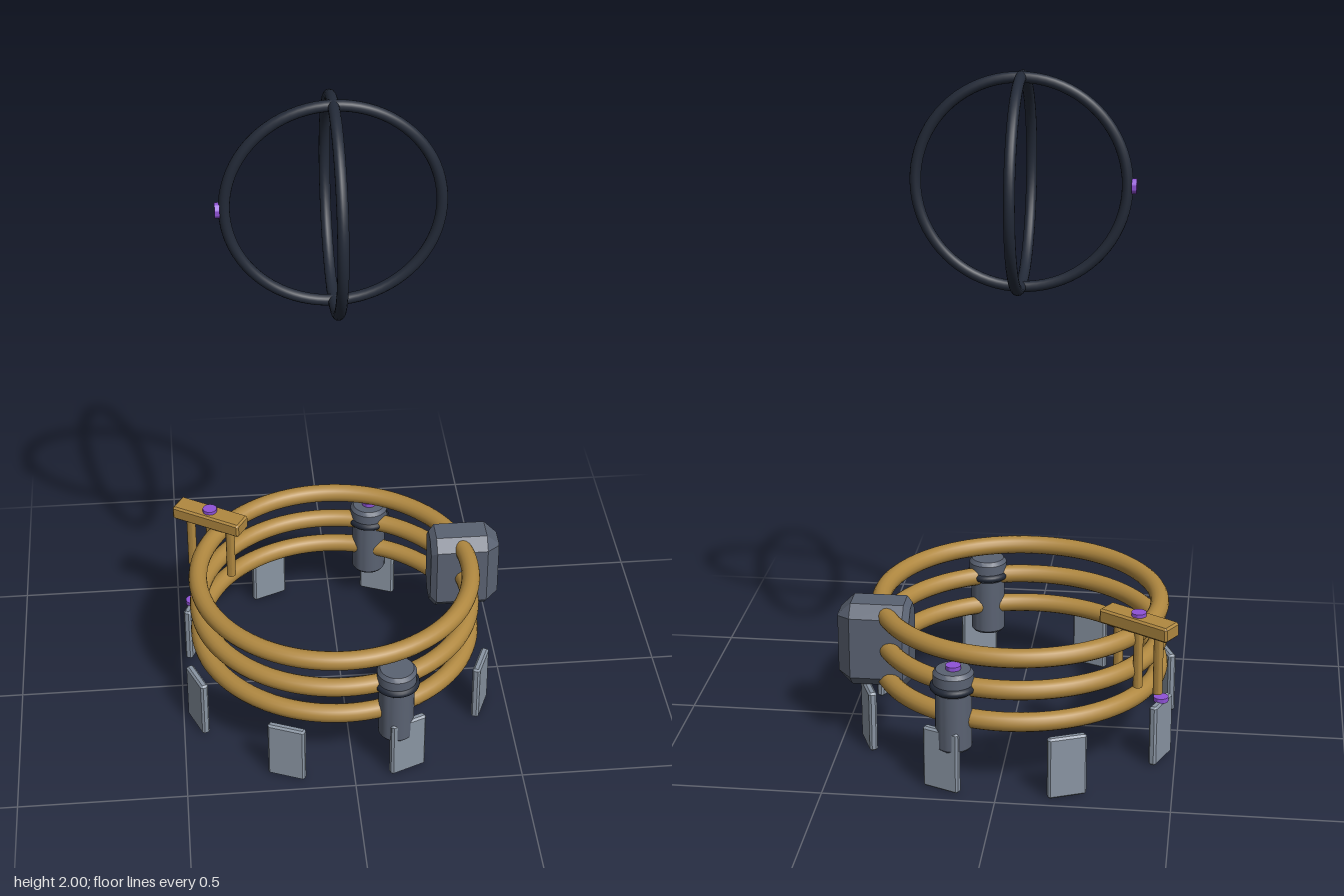
import * as THREE from 'three';
import { ConvexGeometry } from 'three/addons/geometries/ConvexGeometry.js';
import { toCreasedNormals } from 'three/addons/utils/BufferGeometryUtils.js';

const mat = (color, flatShading = false) => new THREE.MeshStandardMaterial({ color, flatShading });
const brass = mat(0xb08840), brassFlat = mat(0xb08840, true), iron = mat(0x5a6272), ironFlat = mat(0x5a6272, true);
const steel = mat(0x8a95a3, true), dark = mat(0x232a38), purple = mat(0x8f52d6);

function part(parent, name, geometry, material, x = 0, y = 0, z = 0) {
  const mesh = new THREE.Mesh(geometry, material);
  mesh.name = name;
  mesh.position.set(x, y, z);
  parent.add(mesh);
  return mesh;
}

// Box with every edge bevelled by b
function bevelBox(w, h, d, b) {
  const pts = [];
  for (const x of [-w / 2, w / 2]) for (const y of [-h / 2, h / 2]) for (const z of [-d / 2, d / 2]) {
    const ix = x - Math.sign(x) * b, iy = y - Math.sign(y) * b, iz = z - Math.sign(z) * b;
    pts.push(new THREE.Vector3(x, iy, iz), new THREE.Vector3(ix, y, iz), new THREE.Vector3(ix, iy, z));
  }
  return new ConvexGeometry(pts);
}

const stud = (parent, x, y, z) =>
  part(parent, 'gemStud', toCreasedNormals(new THREE.CylinderGeometry(0.022, 0.022, 0.014, 24), 0.7), purple, x, y, z);

export function createModel() {
  const model = new THREE.Group();
  model.name = 'ringMachine';
  const body = new THREE.Group();
  body.name = 'body';
  body.position.x = -0.02;
  model.add(body);

  // Three stacked pipe rings
  for (const y of [0.215, 0.315, 0.415]) {
    part(body, 'pipeRing', new THREE.TorusGeometry(0.417, 0.028, 16, 96), brass, 0, y).rotation.x = Math.PI / 2;
  }

  // Eight plate feet around the base
  for (let i = 0; i < 8; i++) {
    const a = (i + 0.5) * Math.PI / 4;
    part(body, 'foot', bevelBox(0.115, 0.19, 0.024, 0.006), steel,
      0.47 * Math.sin(a), 0.095, 0.47 * Math.cos(a)).rotation.y = a;
  }
  stud(body, -0.434, 0.194, -0.178);

  // Canisters at front and back
  const profile = [[0, 0.125], [0.048, 0.125], [0.053, 0.132], [0.053, 0.3], [0.059, 0.306], [0.059, 0.358],
    [0.05, 0.37], [0, 0.37]].map(([r, y]) => new THREE.Vector2(r, y));
  for (const side of [1, -1]) {
    const canister = new THREE.Group();
    canister.name = 'canister';
    canister.position.set(0.148, 0, side * 0.408);
    part(canister, 'canisterBody', toCreasedNormals(new THREE.LatheGeometry(profile, 32), 0.5), iron);
    part(canister, 'canisterBand', new THREE.TorusGeometry(0.056, 0.012, 12, 40), dark, 0, 0.317).rotation.x = Math.PI / 2;
    if (side < 0) stud(canister, 0, 0.375, 0);
    body.add(canister);
  }

  // Chamfered housing, an octagon that tapers at both ends along x
  const corners = [];
  for (const [x, inset] of [[-0.108, 0.015], [-0.09, 0], [0.068, 0], [0.108, 0.038]]) {
    const h = 0.13 - inset, d = 0.073 - inset, c = inset > 0.03 ? 0.004 : 0.035;
    for (const sy of [-1, 1]) for (const sz of [-1, 1]) {
      corners.push(new THREE.Vector3(x, sy * h, sz * (d - c)), new THREE.Vector3(x, sy * (h - c), sz * d));
    }
  }
  part(body, 'housing', new ConvexGeometry(corners), ironFlat, 0.417, 0.32, -0.134);

  // Radial handle with three prongs
  const handle = new THREE.Group();
  handle.name = 'handle';
  handle.position.set(-0.368, 0, -0.25);
  handle.rotation.y = -0.55;
  part(handle, 'handleBar', bevelBox(0.235, 0.045, 0.068, 0.006), brassFlat, 0, 0.467);
  for (const x of [-0.07, 0, 0.07]) {
    part(handle, 'prong', toCreasedNormals(new THREE.CylinderGeometry(0.014, 0.014, 0.185, 20), 0.7), brass, x, 0.357);
  }
  stud(handle, 0, 0.493, 0);
  body.add(handle);

  // Two crossed hoops floating above
  const hoops = new THREE.Group();
  hoops.name = 'crossedHoops';
  hoops.position.y = 1.684;
  for (const turn of [0, Math.PI / 2]) {
    part(hoops, 'hoop', new THREE.TorusGeometry(0.3, 0.016, 14, 80), dark).rotation.y = turn;
  }
  stud(hoops, -0.319, 0, 0).rotation.z = Math.PI / 2;
  body.add(hoops);

  return model;
}
